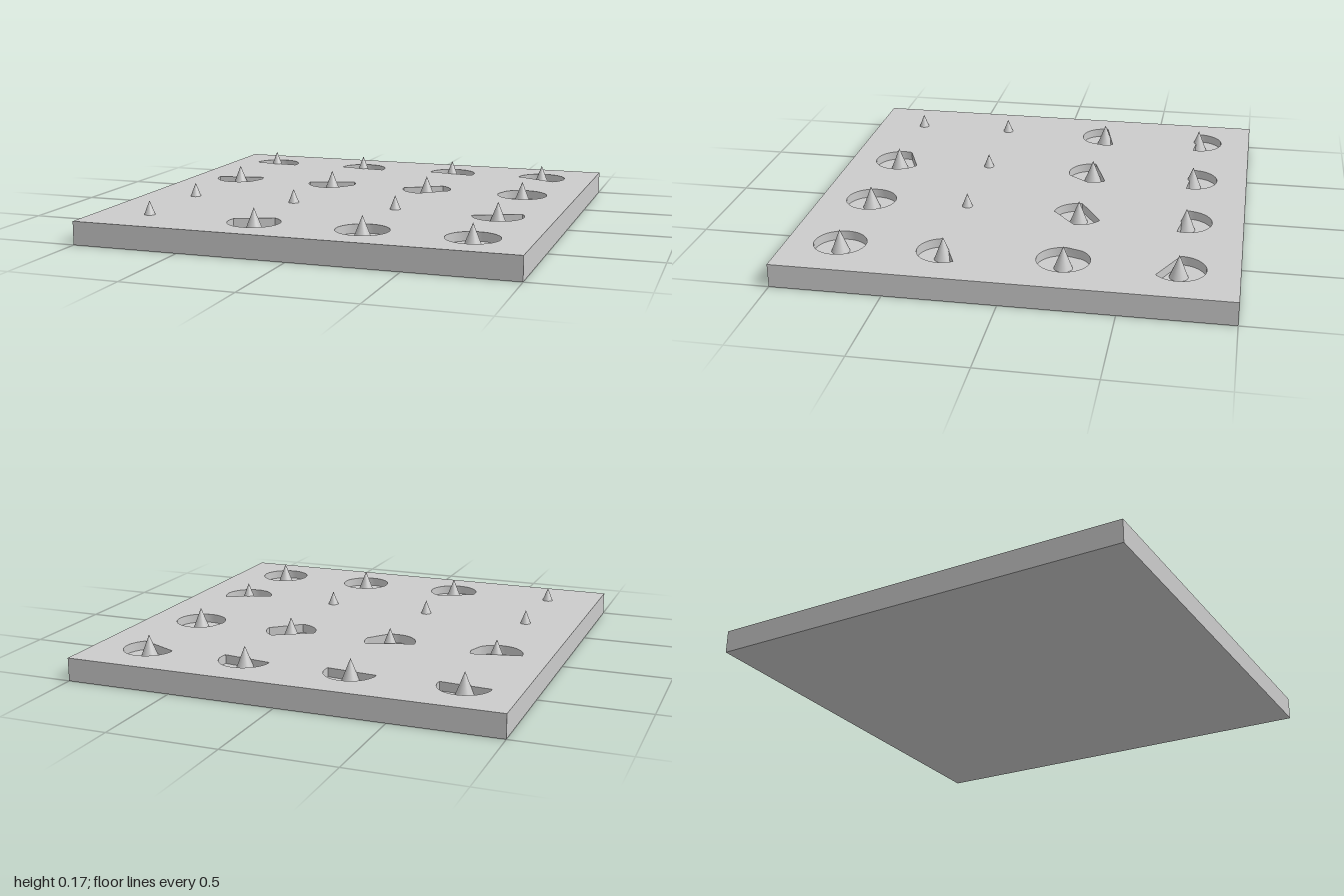
import * as THREE from 'three';
import { toCreasedNormals } from 'three/addons/utils/BufferGeometryUtils.js';

const TOP = 0.107, FLOOR = 0.066, TIP = 0.171;
const POCKET_R = 0.118, CONE_R = 0.041;
const COLS = [-0.751, -0.243, 0.257, 0.738];
const ROWS = [-0.738, -0.241, 0.289, 0.757];

// Arcs in degrees (from +x towards +z) that outline each pocket; straight lines join them
const FULL = [[0, 360]];
const POCKETS = [
  [[[180, 370]], [[180, 372]], [[180, 377]], [[180, 412]]],
  [[[-26, 0], [36, 180]], [[-37, 8], [67, 180]], [[-62, 3], [95, 180]], [[217, 540]]],
  [null, null, null, [[-34, 167]]],
  [null, [[-62, 197]], FULL, FULL],
];

function pocketPath(cx, cz, arcs) {
  const points = [];
  for (const [from, to] of arcs) {
    const steps = Math.max(4, Math.ceil((to - from) / 6));
    const last = to - from === 360 ? steps - 1 : steps;
    for (let i = 0; i <= last; i++) {
      const a = THREE.MathUtils.degToRad(from + ((to - from) * i) / steps);
      points.push(new THREE.Vector2(cx + POCKET_R * Math.cos(a), -cz - POCKET_R * Math.sin(a)));
    }
  }
  return new THREE.Path(points);
}

export function createModel() {
  const group = new THREE.Group();
  const material = new THREE.MeshStandardMaterial({ color: 0xcccccc });
  const add = (name, geometry, x, y, z) => {
    const mesh = new THREE.Mesh(geometry, material);
    mesh.name = name;
    mesh.position.set(x, y, z);
    group.add(mesh);
  };

  // Solid lower layer, whose top is the pocket floor
  add('slabBase', new THREE.BoxGeometry(2, FLOOR, 2), 0, FLOOR / 2, 0);

  // Upper layer with pockets cut through it
  const outline = new THREE.Shape([[-1, -1], [1, -1], [1, 1], [-1, 1]].map(p => new THREE.Vector2(...p)));
  ROWS.forEach((z, r) => COLS.forEach((x, c) => {
    if (POCKETS[r][c]) outline.holes.push(pocketPath(x, z, POCKETS[r][c]));
  }));
  const layer = new THREE.ExtrudeGeometry(outline, { depth: TOP - FLOOR, bevelEnabled: false });
  layer.rotateX(-Math.PI / 2);
  add('slabTop', toCreasedNormals(layer, 0.4), 0, FLOOR, 0);

  // Pointed cones rising from the pocket floor level
  const height = TIP - FLOOR;
  const cone = new THREE.ConeGeometry(CONE_R, height, 32);
  ROWS.forEach((z, r) => COLS.forEach((x, c) => {
    add(`cone${r + 1}${c + 1}`, cone, x, FLOOR + height / 2, z);
  }));

  return group;
}
